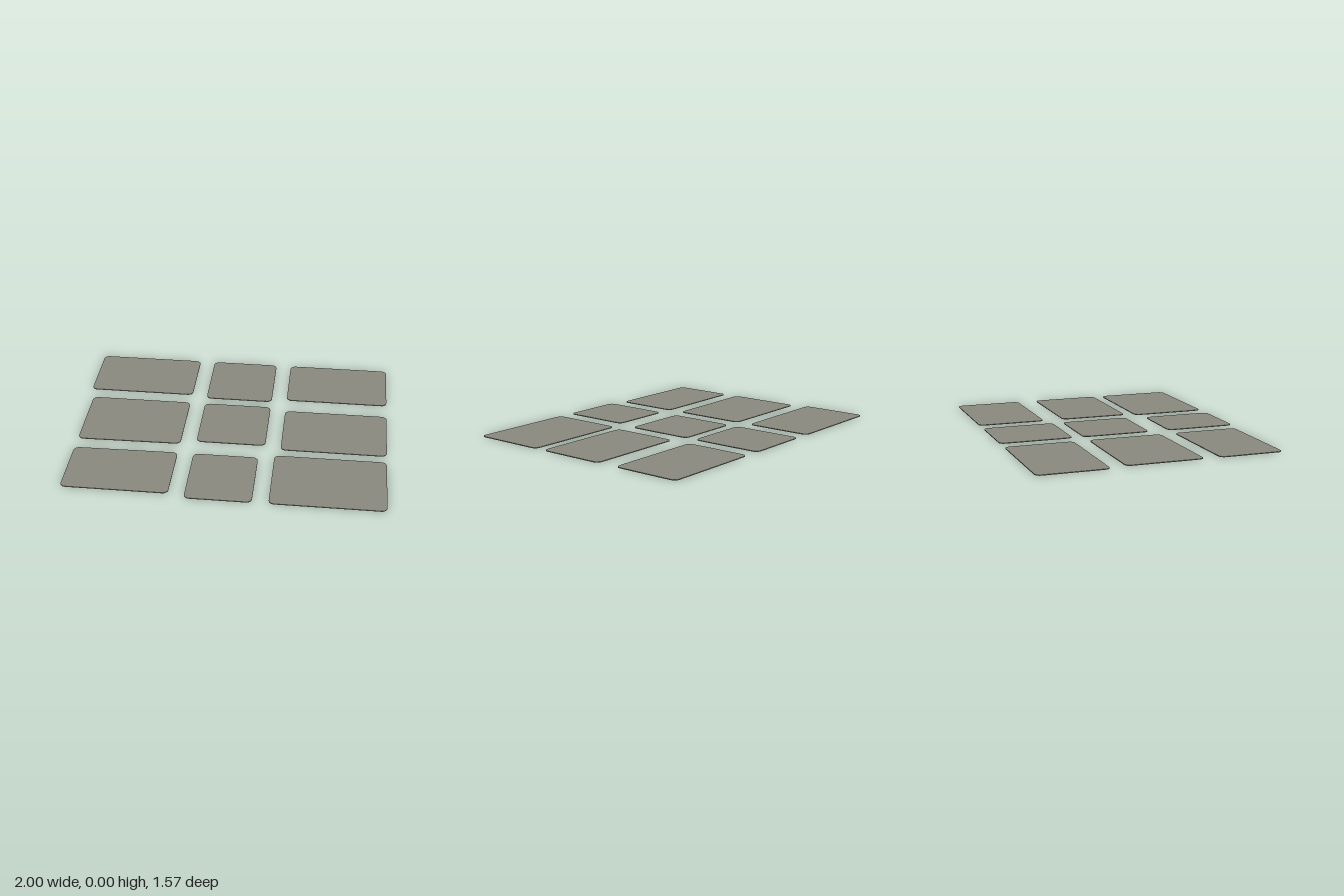
import * as THREE from 'three';

const THICK = 0.005;
const RADIUS = 0.034;

// Rounded four-sided slab lying on the ground; corners are given as [x, z]
function slabGeometry(corners) {
  const shape = new THREE.Shape();
  const pts = corners.map(([x, z]) => new THREE.Vector2(x, z));
  pts.forEach((p, i) => {
    const toward = (q) => q.clone().sub(p).setLength(RADIUS).add(p);
    const a = toward(pts[(i + 3) % 4]);
    const b = toward(pts[(i + 1) % 4]);
    if (i === 0) shape.moveTo(a.x, a.y);
    else shape.lineTo(a.x, a.y);
    // Cubic handles close to a circular corner
    const c = a.clone().lerp(p, 0.55), d = b.clone().lerp(p, 0.55);
    shape.bezierCurveTo(c.x, c.y, d.x, d.y, b.x, b.y);
  });
  shape.closePath();
  const geo = new THREE.ExtrudeGeometry(shape, { depth: THICK, bevelEnabled: false, curveSegments: 6 });
  geo.rotateX(Math.PI / 2);
  geo.translate(0, THICK, 0);
  return geo;
}

export function createModel() {
  const group = new THREE.Group();
  group.name = 'pavingSlabs';
  const stone = new THREE.MeshStandardMaterial({ color: 0x88887d });
  stone.name = 'warm grey stone';

  // x0, x1, back z at x0 and x1, front z at x0 and x1
  const slabs = {
    backRightSlab: [-1, -0.308, -0.785, -0.785, -0.347, -0.347],
    backMiddleSlab: [-0.208, 0.232, -0.785, -0.785, -0.317, -0.317],
    backLeftSlab: [0.332, 1, -0.785, -0.785, -0.347, -0.347],
    middleRightSlab: [-0.968, -0.308, -0.246, -0.246, 0.24, 0.23],
    centreSlab: [-0.208, 0.232, -0.246, -0.246, 0.195, 0.195],
    middleLeftSlab: [0.332, 1, -0.212, -0.212, 0.23, 0.23],
    frontRightSlab: [-0.968, -0.308, 0.341, 0.331, 0.748, 0.748],
    frontMiddleSlab: [-0.208, 0.2, 0.331, 0.331, 0.782, 0.782],
    frontLeftSlab: [0.3, 1, 0.297, 0.297, 0.782, 0.782],
  };
  for (const [name, [x0, x1, b0, b1, f0, f1]] of Object.entries(slabs)) {
    const mesh = new THREE.Mesh(slabGeometry([[x0, b0], [x1, b1], [x1, f1], [x0, f0]]), stone);
    mesh.name = name;
    group.add(mesh);
  }
  return group;
}
